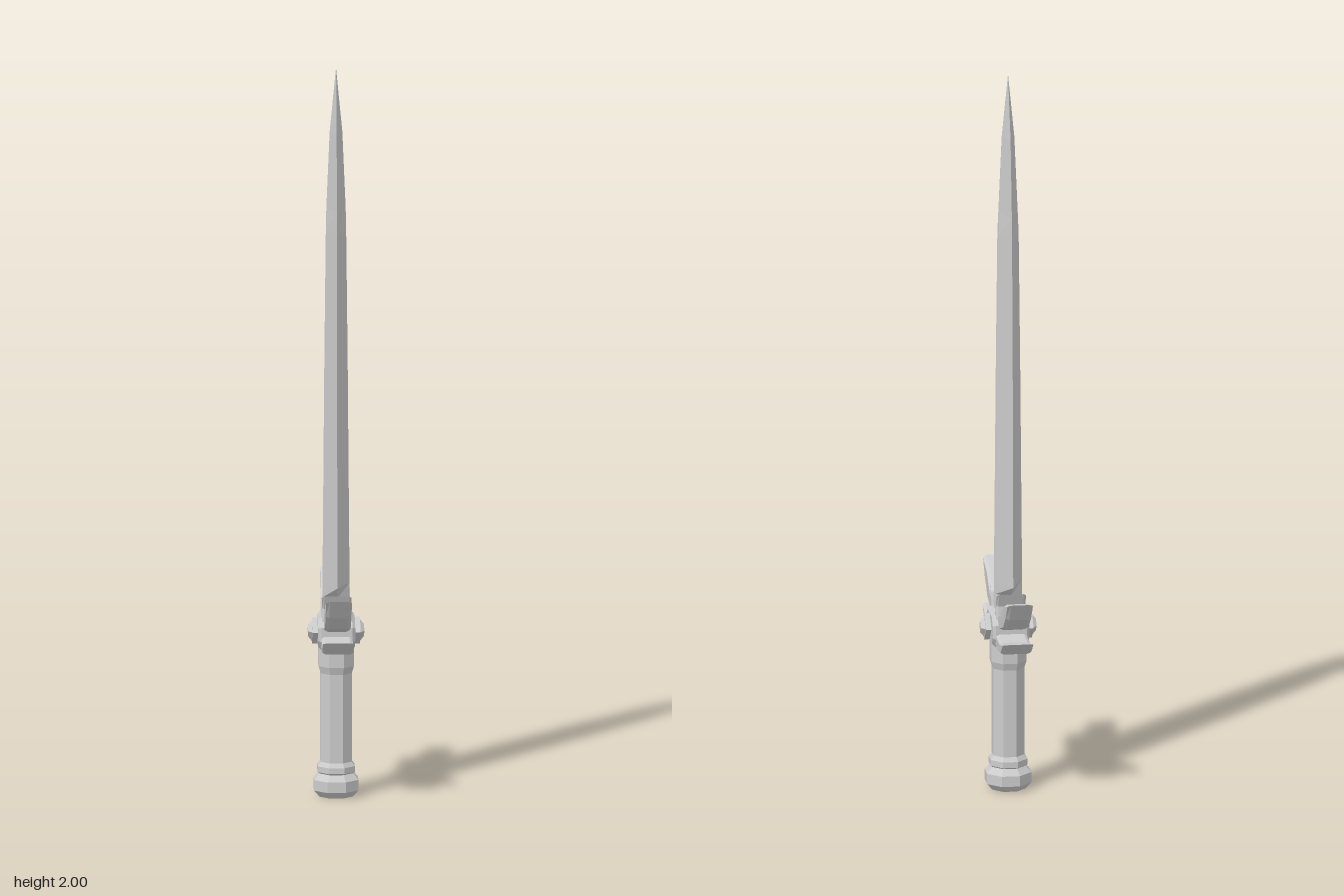
import * as THREE from 'three';

const steel = new THREE.MeshStandardMaterial({ color: 0xcccccc });
steel.name = 'steel';

// Faceted mesh: every triangle gets its own flat normal
function part(name, geometry) {
  const g = geometry.index ? geometry.toNonIndexed() : geometry;
  g.computeVertexNormals();
  const mesh = new THREE.Mesh(g, steel);
  mesh.name = name;
  return mesh;
}

// Plate drawn in (z, y), given thickness along x, with a chamfered rim
function plate(name, outline, halfX, bevelX, bevel) {
  const shape = new THREE.Shape(outline.map(([z, y]) => new THREE.Vector2(z, y)));
  const depth = 2 * (halfX - bevelX);
  const g = new THREE.ExtrudeGeometry(shape, {
    depth, bevelEnabled: true, bevelThickness: bevelX,
    bevelSize: bevel, bevelOffset: -bevel, bevelSegments: 1,
  });
  g.translate(0, 0, -depth / 2).rotateY(-Math.PI / 2);
  return part(name, g);
}

// Octagonal turned part from [apothem, y] pairs, flats facing the axes
function octagon(name, profile) {
  const k = 1 / Math.cos(Math.PI / 8);
  const g = new THREE.LatheGeometry(profile.map(([r, y]) => new THREE.Vector2(r * k, y)), 8);
  return part(name, g.rotateY(Math.PI / 8));
}

// Blade lofted through sections: [y, half width, half thickness, groove half width, groove depth]
function bladeGeometry() {
  const sections = [
    [0.47, 0.05, 0.034, 0.018, 0.007],
    [0.55, 0.05, 0.036, 0.018, 0.007],
    [0.59, 0.105, 0.036, 0.018, 0.007],
    [1.2, 0.094, 0.031, 0.016, 0.006],
    [1.56, 0.081, 0.027, 0.015, 0.005],
    [1.62, 0.077, 0.026, 0.003, 0],
    [1.83, 0.052, 0.017, 0.002, 0],
    [2.0, 0.0005, 0.0005, 0.0002, 0],
  ];
  const positions = [], index = [];
  sections.forEach(([y, w, t, g, d], s) => {
    const ring = [[0, w], [t, g], [t - d, 0], [t, -g], [0, -w], [-t, -g], [d - t, 0], [-t, g]];
    ring.forEach(([x, z], i) => {
      positions.push(x, y, z);
      if (s === 0) return;
      const a = (s - 1) * 8 + i, b = (s - 1) * 8 + (i + 1) % 8;
      index.push(a, b, b + 8, a, b + 8, a + 8);
    });
  });
  const geo = new THREE.BufferGeometry();
  geo.setAttribute('position', new THREE.Float32BufferAttribute(positions, 3));
  geo.setIndex(index);
  return geo;
}

export function createModel() {
  const model = new THREE.Group();
  model.name = 'sword';
  model.add(part('blade', bladeGeometry()));

  // Grip with collar, and flared pommel
  model.add(octagon('grip', [
    [0.042, 0.07], [0.042, 0.34], [0.048, 0.36], [0.048, 0.42],
  ]));
  model.add(octagon('pommelRing', [
    [0.04, 0.06], [0.05, 0.068], [0.05, 0.084], [0.042, 0.096],
  ]));
  model.add(octagon('pommel', [
    [0, 0], [0.045, 0], [0.06, 0.018], [0.06, 0.047], [0.046, 0.064], [0, 0.064],
  ]));

  // Eight-sided guard block
  model.add(plate('guardBlock', [
    [0.045, 0.41], [0.07, 0.435], [0.07, 0.475], [0.045, 0.5],
    [-0.045, 0.5], [-0.07, 0.475], [-0.07, 0.435], [-0.045, 0.41],
  ], 0.05, 0.008, 0.008));

  // Wings and horns, repeated front and back
  for (const [side, turn] of [['front', 0], ['back', Math.PI]]) {
    const wings = new THREE.Group();
    wings.name = side + 'Wings';
    wings.rotation.y = turn;
    wings.add(plate('upperWing', [
      [0.03, 0.46], [0.085, 0.467], [0.16, 0.49], [0.21, 0.53], [0.25, 0.583],
      [0.165, 0.562], [0.1, 0.518], [0.03, 0.495],
    ], 0.035, 0.01, 0.006));
    wings.add(plate('lowerWing', [
      [0.03, 0.415], [0.1, 0.41], [0.16, 0.42], [0.208, 0.46],
      [0.14, 0.447], [0.03, 0.452],
    ], 0.042, 0.008, 0.005));
    wings.add(plate('horn', [
      [0.03, 0.48], [0.06, 0.49], [0.056, 0.525], [0.072, 0.562], [0.042, 0.54],
    ], 0.04, 0.006, 0.004));
    model.add(wings);
  }

  // Diamond boss with a pointed gem on each face of the guard
  for (const s of [1, -1]) {
    const boss = new THREE.Group();
    boss.name = s > 0 ? 'leftBoss' : 'rightBoss';
    boss.position.set(s * 0.045, 0.455, 0);
    boss.rotation.z = -s * Math.PI / 2;
    const frame = part('bossFrame', new THREE.CylinderGeometry(0.037, 0.037, 0.04, 4));
    const gem = part('gem', new THREE.CylinderGeometry(0.016, 0.03, 0.011, 4));
    gem.position.y = 0.0255;
    boss.add(frame, gem);
    model.add(boss);
  }
  return model;
}
